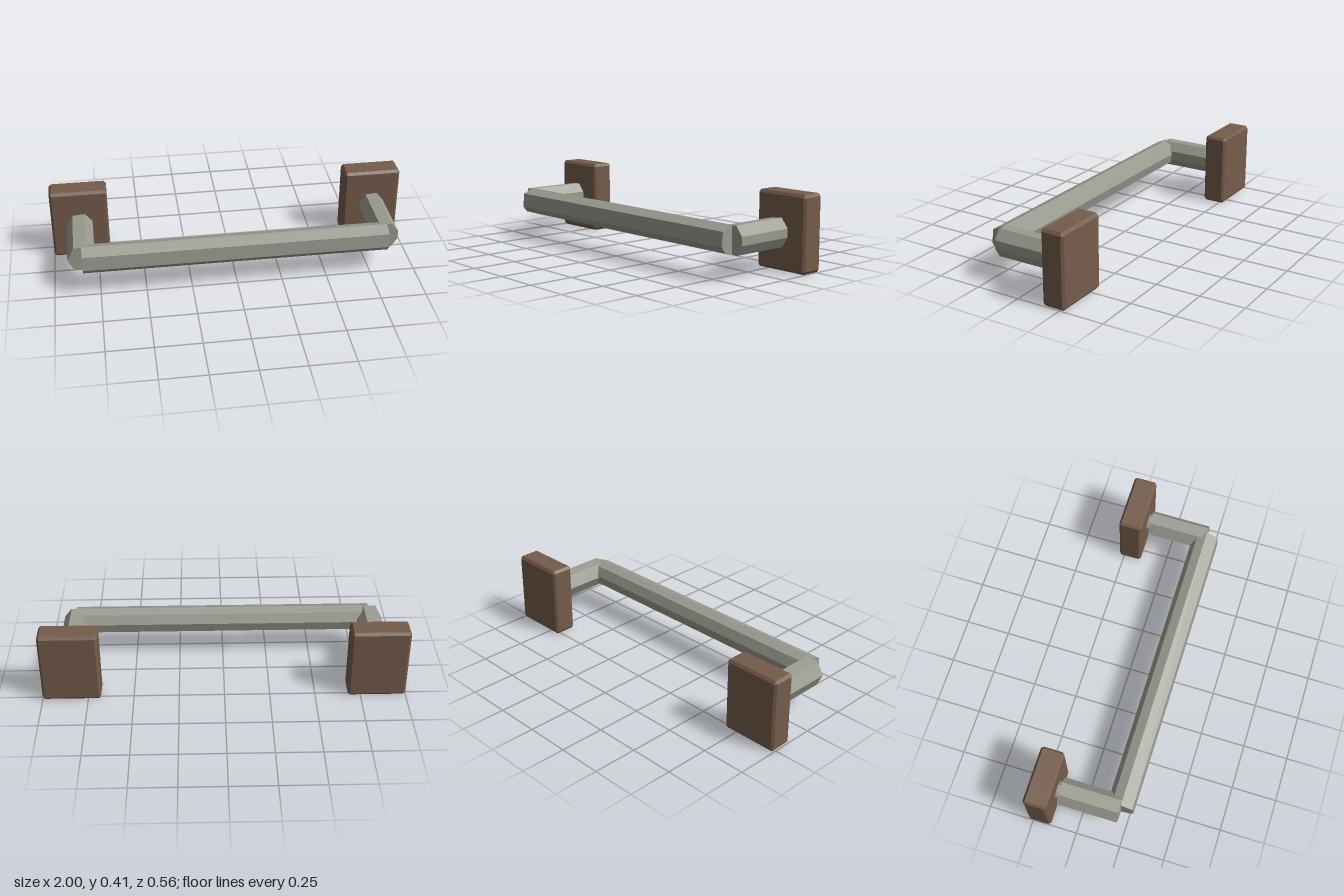
import * as THREE from 'three';
import { ConvexGeometry } from 'three/addons/geometries/ConvexGeometry.js';

const metal = new THREE.MeshStandardMaterial({ color: 0x9a9b90, flatShading: true });
const wood = new THREE.MeshStandardMaterial({ color: 0x755c4b, flatShading: true });

function add(parent, name, geometry, material) {
  const mesh = new THREE.Mesh(geometry, material);
  mesh.name = name;
  parent.add(mesh);
  return mesh;
}

// Straight faceted rod: a cross-section pushed along z, with flat ends
function rod(section, length) {
  const shape = new THREE.Shape(section.map(([x, y]) => new THREE.Vector2(x, y)));
  return new THREE.ExtrudeGeometry(shape, { depth: length, bevelEnabled: false });
}

// Block with every edge chamfered
function chamferedBox(w, h, d, cx, cy, cz) {
  const points = [];
  const a = w / 2, b = h / 2, c = d / 2;
  for (const x of [-1, 1]) for (const y of [-1, 1]) for (const z of [-1, 1]) {
    points.push(
      new THREE.Vector3(x * a, y * (b - cy), z * (c - cz)),
      new THREE.Vector3(x * (a - cx), y * b, z * (c - cz)),
      new THREE.Vector3(x * (a - cx), y * (b - cy), z * c));
  }
  return new ConvexGeometry(points);
}

export function createModel() {
  const group = new THREE.Group();

  // Slightly irregular seven-sided sections, anticlockwise around each post's own axis
  const posts = {
    left: [[0.065, -0.022], [0.065, 0.025], [0.025, 0.076], [-0.04, 0.07], [-0.075, 0], [-0.04, -0.066], [0.03, -0.076]],
    right: [[-0.077, 0], [-0.045, -0.066], [0.03, -0.074], [0.07, -0.027], [0.07, 0.028], [0.03, 0.076], [-0.04, 0.07]],
  };

  for (const [side, sign] of [['left', 1], ['right', -1]]) {
    const bracket = new THREE.Group();
    bracket.name = side + 'Bracket';
    bracket.position.set(sign * 0.84, 0.207, 0);
    group.add(bracket);

    // Wall plate
    add(bracket, 'wallPlate', chamferedBox(0.32, 0.41, 0.13, 0.012, 0.015, 0.012), wood)
      .position.set(0, -0.002, -0.213);

    // Narrow neck between plate and post
    const neck = new THREE.CylinderGeometry(0.048, 0.048, 0.05, 8).rotateX(Math.PI / 2);
    neck.rotateZ(Math.PI / 8);
    add(bracket, 'neck', neck, metal).position.z = -0.14;

    // Post reaching out to the rail
    add(bracket, 'post', rod(posts[side], 0.335), metal).position.z = -0.128;
  }

  // Rail across the front; section given as (-z, y) so that its length runs along x
  const railSection = [
    [0, 0.076], [-0.063, 0.048], [-0.071, -0.03], [-0.045, -0.062],
    [0, -0.076], [0.065, -0.045], [0.077, 0.01], [0.05, 0.06],
  ];
  add(group, 'rail', rod(railSection, 1.676).translate(0, 0, -0.838).rotateY(Math.PI / 2), metal)
    .position.set(0, 0.207, 0.207);

  return group;
}
